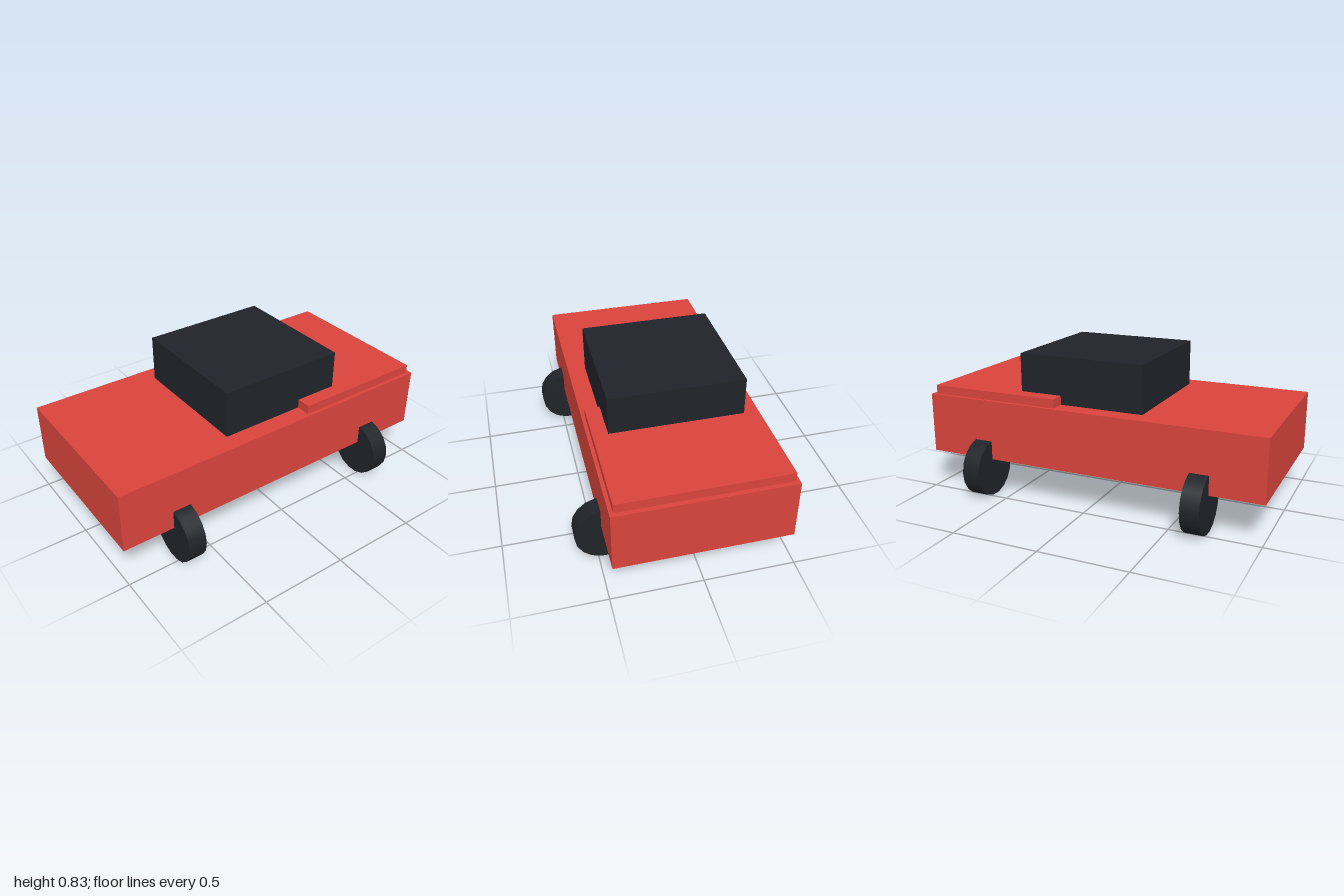
import * as THREE from 'three';

export function createModel() {
  const model = new THREE.Group();
  model.name = 'car';
  const red = new THREE.MeshStandardMaterial({ color: 0xd9443c });
  const dark = new THREE.MeshStandardMaterial({ color: 0x20242a });

  // Box given by its x and y ranges and full depth, centred on z = 0
  function addBox(name, material, x0, x1, y0, y1, depth) {
    const mesh = new THREE.Mesh(new THREE.BoxGeometry(x1 - x0, y1 - y0, depth), material);
    mesh.position.set((x0 + x1) / 2, (y0 + y1) / 2, 0);
    mesh.name = name;
    model.add(mesh);
  }

  addBox('body', red, -1, 1, 0.217, 0.565, 0.955);
  addBox('hood', red, 0.195, 0.975, 0.565, 0.616, 0.915);
  addBox('cabin', dark, -0.295, 0.445, 0.565, 0.835, 0.747);

  // Four 18-sided wheels with their axles along x, resting on a flat side
  const radius = 0.165;
  const wheelGeometry = new THREE.CylinderGeometry(radius, radius, 0.105, 18);
  wheelGeometry.rotateZ(Math.PI / 2);
  for (const x of [-0.652, 0.65]) {
    for (const z of [-0.457, 0.457]) {
      const wheel = new THREE.Mesh(wheelGeometry, dark);
      wheel.position.set(x, radius * Math.cos(Math.PI / 18), z);
      wheel.name = (x > 0 ? 'left' : 'right') + (z > 0 ? 'Front' : 'Back') + 'Wheel';
      model.add(wheel);
    }
  }
  return model;
}
